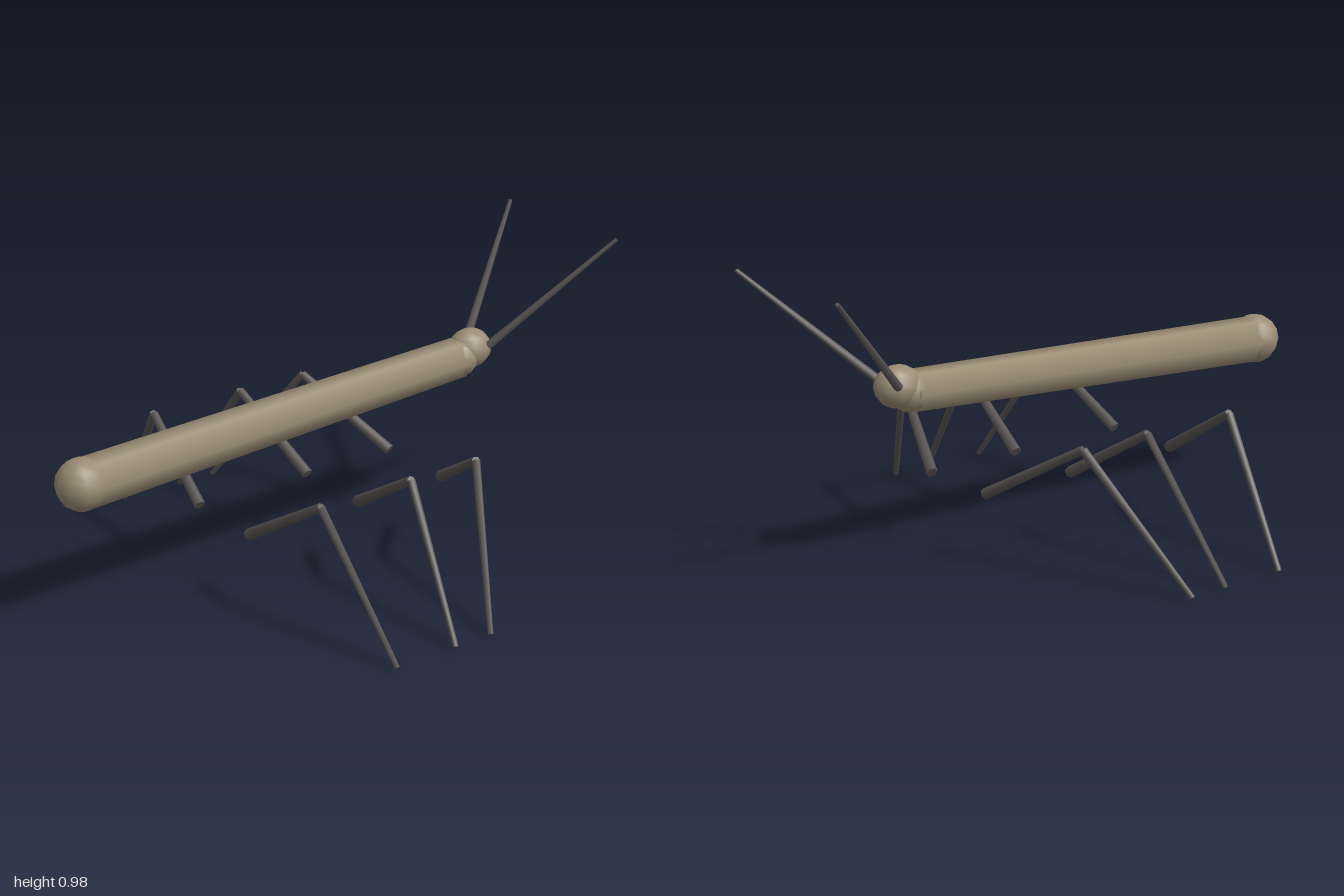
import * as THREE from 'three';

const bodyMat = new THREE.MeshStandardMaterial({ color: 0x9a8c74 });
bodyMat.name = 'dry twig tan';
const limbMat = new THREE.MeshStandardMaterial({ color: 0x595353 });
limbMat.name = 'limb grey';

// Tapered six-sided rod between two points
function rod(name, a, b, ra, rb, mat) {
  const p = new THREE.Vector3(...a), q = new THREE.Vector3(...b);
  const dir = q.clone().sub(p);
  const mesh = new THREE.Mesh(new THREE.CylinderGeometry(rb, ra, dir.length(), 6), mat);
  mesh.position.copy(p).add(q).multiplyScalar(0.5);
  mesh.quaternion.setFromUnitVectors(new THREE.Vector3(0, 1, 0), dir.normalize());
  mesh.name = name;
  return mesh;
}

function ball(name, center, scale) {
  const mesh = new THREE.Mesh(new THREE.SphereGeometry(1, 10, 8), bodyMat);
  mesh.position.set(...center);
  mesh.scale.set(...scale);
  mesh.name = name;
  return mesh;
}

export function createModel() {
  const model = new THREE.Group();
  model.name = 'stickInsect';

  // Long tapered body with rounded ends and head
  model.add(
    rod('body', [-0.913, 0.492, 0], [0.555, 0.574, 0], 0.081, 0.069, bodyMat),
    ball('tailEnd', [-0.913, 0.493, 0], [0.084, 0.084, 0.084]),
    ball('neck', [0.555, 0.575, 0], [0.066, 0.066, 0.066]),
    ball('head', [0.597, 0.597, 0], [0.08, 0.068, 0.066])
  );

  // Hip x, knee x and foot x of each leg pair
  const legs = { front: [0.37, 0.245, 0.065], middle: [0.027, -0.014, -0.073], rear: [-0.4, -0.359, -0.299] };
  for (const [side, s] of [['Near', 1], ['Far', -1]]) {
    for (const [pair, [hip, knee, foot]] of Object.entries(legs)) {
      const leg = new THREE.Group();
      leg.name = pair + 'Leg' + side;
      const kneePoint = [knee, 0.437, 0.466 * s];
      leg.add(
        rod('upperLeg', [hip, 0.236, 0.138 * s], kneePoint, 0.019, 0.014, limbMat),
        rod('lowerLeg', kneePoint, [foot, 0.006, 0.77 * s], 0.014, 0.009, limbMat)
      );
      model.add(leg);
    }
    // Antenna
    model.add(rod('antenna' + side, [0.632, 0.612, 0.054 * s], [0.992, 0.972, 0.27 * s], 0.015, 0.007, limbMat));
  }
  return model;
}
